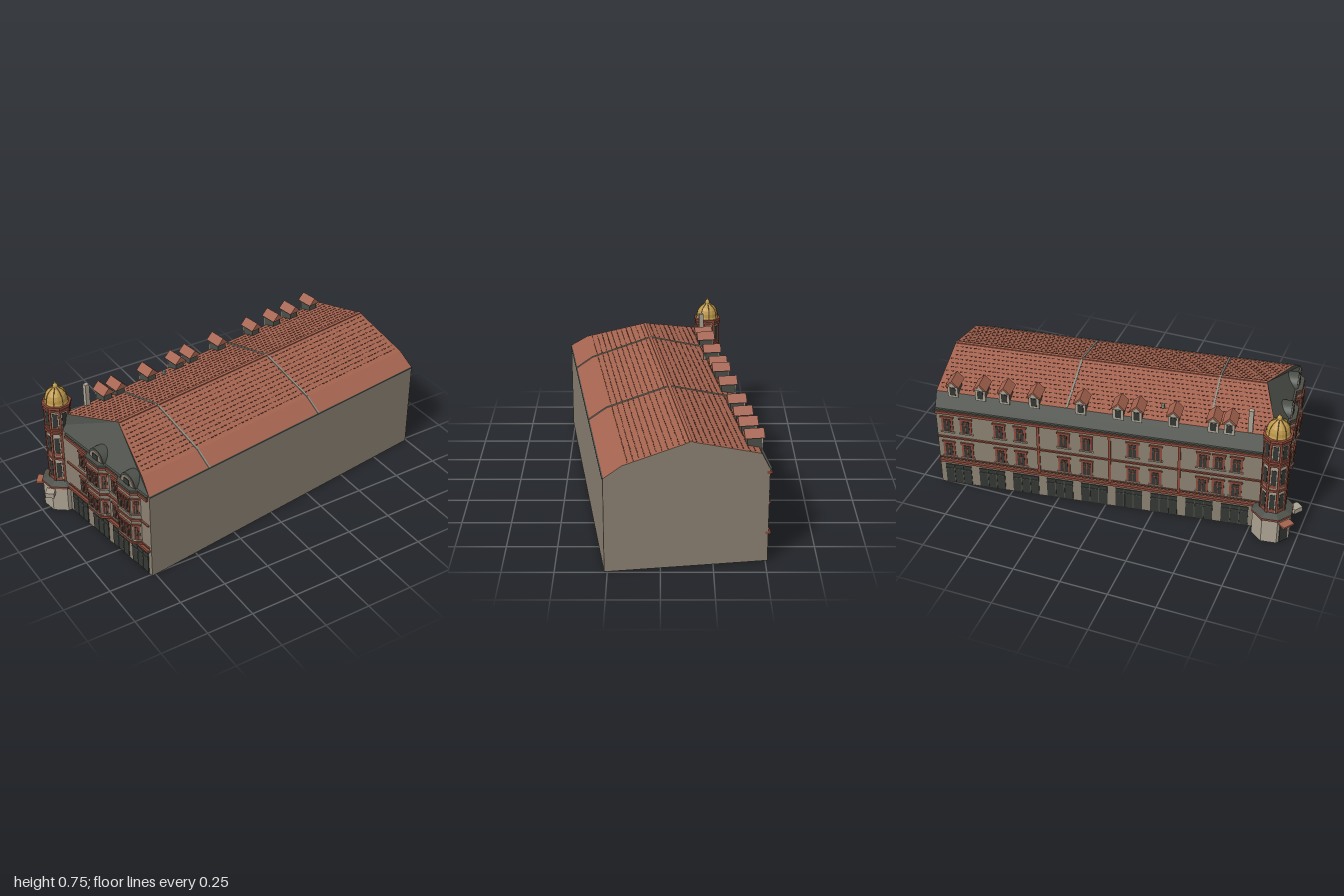
import * as THREE from 'three';
import { mergeGeometries } from 'three/addons/utils/BufferGeometryUtils.js';

const mat = (name, color) => {
  const m = new THREE.MeshStandardMaterial({ color, side: THREE.DoubleSide, flatShading: true });
  m.name = name;
  return m;
};
const M = {
  wall: mat('stone wall', 0x8b8172), light: mat('light stone', 0xaca392),
  tile: mat('roof tile', 0xa5634f), joint: mat('tile joint', 0x5c382e),
  trim: mat('red trim', 0x8c4a3a), slate: mat('slate', 0x4c5049),
  glass: mat('dark glass', 0x343733), gold: mat('gilded dome', 0xc19b4c),
  rib: mat('dome rib', 0x7d6230), lead: mat('lead strip', 0x8c9087),
};

// Roof profile from front eave to back eave: [z, y, x of the hipped left end]
const P = [[0.4, 0.485, -0.833], [0.31, 0.545, -0.805], [-0.01, 0.645, -0.704],
  [-0.342, 0.565, -0.805], [-0.383, 0.485, -0.833]];
const L = -0.833, R = 0.948, F = 0.4, B = -0.383;

export function createModel() {
  const root = new THREE.Group();
  root.name = 'cornerBuilding';
  const house = new THREE.Group();
  house.name = 'building';
  house.rotation.y = 0.139;
  root.add(house);

  const add = (name, geo, m, parent = house) => {
    const mesh = new THREE.Mesh(geo, m);
    mesh.name = name;
    parent.add(mesh);
    return mesh;
  };
  const box = (name, w, h, d, x, y, z, m, parent) =>
    add(name, new THREE.BoxGeometry(w, h, d).translate(x, y, z), m, parent);
  const group = (name, x = 0, y = 0, z = 0, ry = 0, parent = house) => {
    const g = new THREE.Group();
    g.name = name;
    g.position.set(x, y, z);
    g.rotation.y = ry;
    parent.add(g);
    return g;
  };
  // Flat convex face from its corners
  const face = (name, pts, m) => {
    const pos = [];
    for (let i = 1; i < pts.length - 1; i++) pos.push(...pts[0], ...pts[i], ...pts[i + 1]);
    const g = new THREE.BufferGeometry();
    g.setAttribute('position', new THREE.Float32BufferAttribute(pos, 3));
    g.computeVertexNormals();
    return add(name, g, m);
  };
  // Thin box lying on a roof slope at fraction t
  const onSlope = (a, b, t, w, h, len, x, lift) => {
    const dz = b[0] - a[0], dy = b[1] - a[1];
    return new THREE.BoxGeometry(w, h, len).rotateX(-Math.atan2(dy, dz))
      .translate(x, a[1] + dy * t + lift, a[0] + dz * t);
  };

  // Walls and gable
  const H = 0.485;
  face('frontWall', [[L, 0, F], [R, 0, F], [R, H, F], [L, H, F]], M.wall);
  face('backWall', [[R, 0, B], [L, 0, B], [L, H, B], [R, H, B]], M.wall);
  face('leftWall', [[L, 0, B], [L, 0, F], [L, H, F], [L, H, B]], M.wall);
  face('floor', [[L, 0, B], [R, 0, B], [R, 0, F], [L, 0, F]], M.wall);
  face('gableWall', [[R, 0, F], [R, 0, B], ...P.slice().reverse().map(p => [R, p[1], p[0]])], M.wall);

  // Roof slopes: tiles in front and on top, slate mansard behind and on the hip
  for (let i = 0; i < 4; i++) {
    const a = P[i], b = P[i + 1];
    face('roofSlope', [[a[2], a[1], a[0]], [R, a[1], a[0]], [R, b[1], b[0]], [b[2], b[1], b[0]]],
      i === 3 ? M.slate : M.tile);
  }
  face('slateHip', [P[2], P[3], P[4], P[0], P[1]].map(p => [p[2], p[1], p[0]]), M.slate);
  box('frontGutter', R - L, 0.006, 0.008, (L + R) / 2, 0.484, F, M.slate);
  box('ridgeTiles', R + 0.704, 0.006, 0.016, (R - 0.704) / 2, 0.645, -0.01, M.tile);

  // Tile joints in rows, and lead strips over the party walls
  const joints = [], strips = [];
  for (const i of [1, 2]) {
    const a = P[i], b = P[i + 1];
    for (let r = 1; r < 12; r++) {
      const t = r / 12, x0 = a[2] + (b[2] - a[2]) * t + 0.02;
      for (let x = x0; x < R - 0.01; x += 0.025)
        joints.push(onSlope(a, b, t, 0.015, 0.002, 0.005, x, 0.0005));
    }
  }
  for (const x of [-0.465, 0.26]) for (let i = 0; i < 3; i++) {
    const a = P[i], b = P[i + 1];
    strips.push(onSlope(a, b, 0.5, 0.009, 0.006, Math.hypot(b[0] - a[0], b[1] - a[1]), x, 0.001));
  }
  add('tileJoints', mergeGeometries(joints), M.joint);
  add('leadStrips', mergeGeometries(strips), M.lead);

  // Dormers
  const prism = (w, h, d) => {
    const s = new THREE.Shape([[-w / 2, 0], [w / 2, 0], [0, h]].map(p => new THREE.Vector2(...p)));
    return new THREE.ExtrudeGeometry(s, { depth: d, bevelEnabled: false }).translate(0, 0, -d / 2);
  };
  for (const x of [-0.57, -0.49, -0.29, -0.105, -0.01, 0.183, 0.425, 0.58, 0.707, 0.853]) {
    const g = group('dormer', x, 0, -0.32);
    box('dormerBody', 0.05, 0.075, 0.07, 0, 0.582, 0, M.slate, g);
    add('dormerRoof', prism(0.074, 0.037, 0.095).translate(0, 0.616, 0), M.tile, g);
    box('dormerFrame', 0.054, 0.064, 0.006, 0, 0.585, -0.037, M.light, g);
    box('dormerGlass', 0.03, 0.046, 0.004, 0, 0.585, -0.04, M.glass, g);
    add('dormerPediment', prism(0.05, 0.025, 0.004).translate(0, 0.618, -0.048), M.light, g);
  }
  box('chimney', 0.024, 0.145, 0.024, -0.671, 0.622, -0.327, M.light);
  box('roofVent', 0.015, 0.02, 0.015, -0.22, 0.605, -0.27, M.lead);

  // Window facing -z of its group
  const windowAt = (parent, x, y, z, w, h) => {
    const g = group('window', x, y, z, 0, parent);
    box('windowSurround', w, h, 0.01, 0, 0, 0, M.trim, g);
    box('windowGlass', w * 0.62, h * 0.8, 0.004, 0, -0.002, -0.005, M.glass, g);
    box('windowMullion', 0.004, h * 0.8, 0.004, 0, -0.002, -0.007, M.trim, g);
    box('windowTransom', w * 0.62, 0.004, 0.004, 0, h * 0.15, -0.007, M.trim, g);
    box('windowSill', w + 0.012, 0.007, 0.016, 0, -h / 2, 0, M.light, g);
    box('windowHead', w + 0.01, 0.008, 0.016, 0, h / 2, 0, M.trim, g);
  };
  const shopAt = (parent, x, w) => {
    const g = group('shopfront', x, 0, 0, 0, parent);
    box('shopGlass', w, 0.118, 0.008, 0, 0.066, 0, M.glass, g);
    for (const k of [-1 / 6, 1 / 6]) box('shopMullion', 0.005, 0.118, 0.006, w * k, 0.066, -0.004, M.slate, g);
    box('shopTransom', w, 0.005, 0.006, 0, 0.098, -0.004, M.slate, g);
  };
  // Cornices shared by both decorated fronts, centred on x
  const cornices = (parent, len, x) => {
    for (const [y, h, d] of [[0.15, 0.014, 0.026], [0.17, 0.006, 0.012], [0.308, 0.008, 0.018],
      [0.466, 0.015, 0.026], [0.482, 0.008, 0.02]])
      box('cornice', len, h, d, x, y, 0, y === 0.482 ? M.slate : M.trim, parent);
  };

  // Long decorated back front
  const back = group('backFront', 0, 0, B);
  cornices(back, R + 0.77, (R - 0.77) / 2);
  for (const x of [0.89, 0.79, 0.61, 0.5, 0.27, 0.15, -0.09, -0.21, -0.45, -0.53, -0.62])
    for (const y of [0.23, 0.388]) windowAt(back, x, y, 0, 0.062, 0.094);
  for (const x of [0.405, 0.03, -0.33]) box('pilaster', 0.014, 0.31, 0.012, x, 0.313, 0, M.trim, back);
  for (let i = 0; i < 9; i++) shopAt(back, 0.85 - i * 0.184, 0.14);

  // Short decorated left front, built facing -z and turned to -x
  const side = group('leftFront', L, 0, 0, Math.PI / 2);
  cornices(side, 0.68, -0.05);
  for (const z of [-0.16, 0.115]) for (const y of [0.23, 0.388]) windowAt(side, -z, y, 0, 0.045, 0.094);
  for (const z of [-0.2, -0.02, 0.15, 0.31]) shopAt(side, -z, 0.13);
  for (const z of [-0.016, 0.243]) {
    const g = group('orielBay', -z, 0, 0, 0, side);
    const bay = (w, d, h, y) => {
      const s = new THREE.Shape([[-w, 0], [-w * 0.6, d], [w * 0.6, d], [w, 0]].map(p => new THREE.Vector2(...p)));
      return new THREE.ExtrudeGeometry(s, { depth: h, bevelEnabled: false }).rotateX(-Math.PI / 2).translate(0, y, 0);
    };
    add('orielWall', bay(0.085, 0.036, 0.3, 0.165), M.wall, g);
    for (const y of [0.16, 0.302, 0.46]) add('orielCornice', bay(0.092, 0.041, 0.012, y), M.trim, g);
    add('orielRoof', bay(0.088, 0.038, 0.012, 0.472), M.slate, g);
    for (const y of [0.23, 0.388]) {
      for (const x of [-0.025, 0.025]) windowAt(g, x, y, -0.036, 0.04, 0.094);
      for (const k of [-1, 1]) {
        const f = group('orielSide', k * 0.068, 0, -0.018, -k * 0.81, g);
        windowAt(f, 0, y, 0, 0.032, 0.094);
      }
    }
    // Curved gable above the bay
    const arch = (r, d, zz) => {
      const s = new THREE.Shape();
      s.moveTo(-r, 0);
      s.lineTo(r, 0);
      s.absarc(0, 0, r, 0, Math.PI);
      return new THREE.ExtrudeGeometry(s, { depth: d, bevelEnabled: false, curveSegments: 12 }).translate(0, 0.482, zz);
    };
    add('gableVault', arch(0.06, 0.06, -0.01), M.slate, g);
    add('gableFace', arch(0.05, 0.006, -0.015), M.wall, g);
    box('gableWindow', 0.04, 0.032, 0.005, 0, 0.5, -0.016, M.glass, g);
  }

  // Corner turret
  const turret = group('turret', -0.814, 0, -0.387);
  const oct = (name, r0, r1, y0, y1, m) => add(name,
    new THREE.CylinderGeometry(r1, r0, y1 - y0, 8).rotateY(Math.PI / 8).translate(0, (y0 + y1) / 2, 0), m, turret);
  oct('turretBase', 0.104, 0.104, 0, 0.142, M.light);
  oct('baseCornice', 0.11, 0.11, 0.142, 0.154, M.trim);
  oct('baseRoof', 0.108, 0.07, 0.154, 0.168, M.slate);
  oct('turretShaft', 0.066, 0.066, 0.16, 0.615, M.light);
  for (const y of [0.308, 0.466, 0.485, 0.6]) oct('turretCornice', 0.073, 0.073, y - 0.006, y + 0.006, M.trim);
  oct('turretTop', 0.077, 0.077, 0.612, 0.626, M.trim);
  for (let i = 0; i < 8; i++) {
    const a = i * Math.PI / 4;
    const p = group('turretPilaster', 0, 0, 0, a + Math.PI / 8, turret);
    box('pilaster', 0.012, 0.45, 0.012, 0, 0.39, -0.064, M.trim, p);
    const f = group('turretFace', 0, 0, 0, a, turret);
    for (const [y, h] of [[0.235, 0.09], [0.39, 0.09], [0.543, 0.08]]) {
      box('turretWindow', 0.026, h, 0.004, 0, y, -0.061, M.glass, f);
      box('windowPanel', 0.03, 0.02, 0.004, 0, y - h / 2 - 0.012, -0.061, M.trim, f);
    }
  }

  // Corner door with canopy and hanging sign board
  const door = group('entrance', 0, 0, 0, Math.PI / 4, turret);
  box('door', 0.05, 0.105, 0.006, 0, 0.054, -0.097, M.glass, door);
  box('canopy', 0.066, 0.01, 0.045, 0, 0.124, -0.116, M.tile, door);
  const sign = group('signBoard', -0.113, 0.124, 0.05, Math.PI / 4, turret);
  box('board', 0.05, 0.028, 0.046, 0, 0, 0, M.light, sign);

  // Gilded dome with ribs and finial
  const prof = [[0.062, 0.626], [0.058, 0.636], [0.057, 0.655], [0.051, 0.675], [0.039, 0.692], [0.022, 0.703],
    [0.014, 0.711], [0.012, 0.722], [0.007, 0.729], [0.003, 0.74], [0, 0.75]].map(p => new THREE.Vector2(...p));
  add('dome', new THREE.LatheGeometry(prof, 16), M.gold, turret);
  const curve = new THREE.CatmullRomCurve3(prof.slice(0, 7).map(p => new THREE.Vector3(p.x, p.y, 0)));
  for (let i = 0; i < 8; i++)
    add('domeRib', new THREE.TubeGeometry(curve, 12, 0.0018, 4).rotateY(i * Math.PI / 4), M.rib, turret);

  return root;
}
